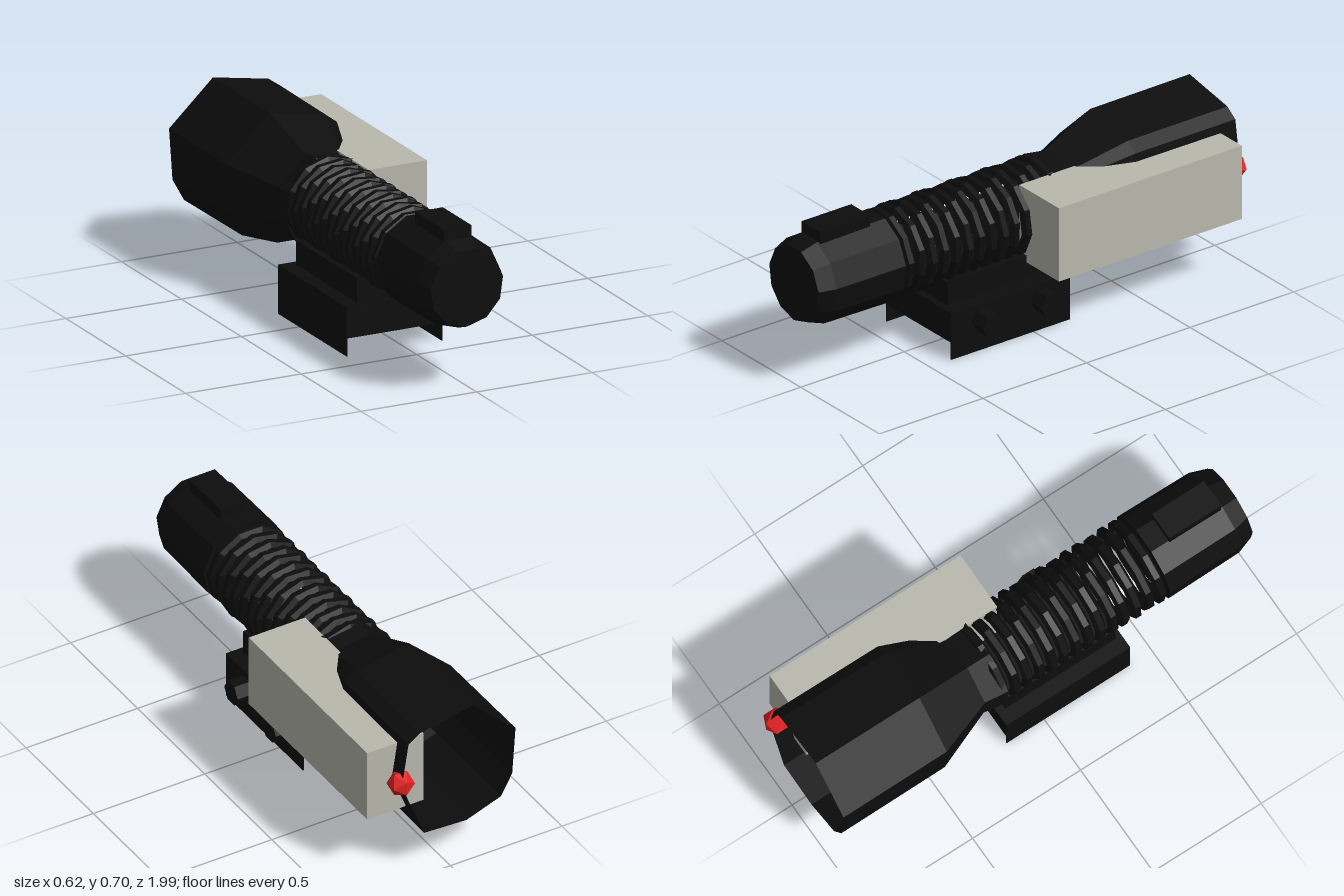
import * as THREE from 'three';

const CX = -0.042, CY = 0.43; // axis of the light

// Skin stretched over closed rings of [x, y] points, one ring per z (largest z first)
function loft(rings) {
  const n = rings[0].pts.length, pos = [], idx = [];
  for (const { z, pts } of rings) for (const [x, y] of pts) pos.push(x, y, z);
  for (let r = 0; r < rings.length - 1; r++) {
    for (let i = 0; i < n; i++) {
      const a = r * n + i, b = r * n + (i + 1) % n;
      idx.push(a, a + n, b, b, a + n, b + n);
    }
  }
  const g = new THREE.BufferGeometry();
  g.setAttribute('position', new THREE.Float32BufferAttribute(pos, 3));
  g.setIndex(idx);
  const flat = g.toNonIndexed();
  flat.computeVertexNormals();
  return flat;
}

// Lathe turned along z; profile is [radius, z]
function turned(profile, sides) {
  const g = new THREE.LatheGeometry(profile.map(([r, z]) => new THREE.Vector2(r, z)), sides);
  g.rotateX(Math.PI / 2);
  return g;
}

export function createModel() {
  const model = new THREE.Group();
  const black = new THREE.MeshStandardMaterial({ color: 0x0d0d0d, side: THREE.DoubleSide, flatShading: true });
  const grey = new THREE.MeshStandardMaterial({ color: 0xb8b8ad, flatShading: true });
  const red = new THREE.MeshStandardMaterial({ color: 0xe02222, flatShading: true });

  function add(name, geometry, material, x = 0, y = 0, z = 0) {
    const mesh = new THREE.Mesh(geometry, material);
    mesh.name = name;
    mesh.position.set(x, y, z);
    model.add(mesh);
    return mesh;
  }
  // Box given by its limits on each axis
  function block(name, material, [x0, x1], [y0, y1], [z0, z1]) {
    return add(name, new THREE.BoxGeometry(x1 - x0, y1 - y0, z1 - z0), material,
      (x0 + x1) / 2, (y0 + y1) / 2, (z0 + z1) / 2);
  }

  // Hollow flared head, open at the back
  const rim = [[0.2, 0.43], [0.17, 0.62], [0.12, 0.655], [-0.12, 0.698], [-0.31, 0.52],
    [-0.295, 0.31], [-0.245, 0.22], [-0.09, 0.165], [0.1, 0.175]];
  const scaled = (s) => rim.map(([x, y]) => [CX + (x - CX) * s, CY + (y - CY) * s]);
  add('head', loft([
    { z: -0.15, pts: scaled(0.69) },
    { z: -0.25, pts: scaled(0.64) },
    { z: -0.49, pts: scaled(0.99) },
    { z: -0.97, pts: scaled(1) },
  ]), black);

  // Tail end of the tube with its switch
  add('tailCap', turned([[0, 0.6], [0.187, 0.6], [0.183, 0.93], [0.158, 1], [0, 1]], 11), black, CX, CY);
  block('switchButton', black, [-0.1, 0.02], [0.56, 0.65], [0.68, 0.92]);

  // Ribbed grip made of separate thin bands, slightly tilted
  const pitch = 0.0565;
  const band = turned([[0.165, -0.024], [0.185, -0.012], [0.185, 0.012], [0.165, 0.024]], 11);
  for (let i = 0; i < 14; i++) {
    const rib = add('gripBand', band, black, CX, CY, 0.57 - i * pitch);
    rib.rotation.set(i > 3 ? 0.02 : 0, i > 3 ? 0.025 : 0, i * 0.2);
  }

  // Side housing and its red lamp
  block('sideHousing', grey, [0.057, 0.31], [0.27, 0.585], [-0.895, -0.012]);
  add('redLamp', new THREE.IcosahedronGeometry(0.055, 0), red, 0.19, 0.43, -0.945);

  // Rail mount: saddle, clamp and two thin side skirts
  block('mountSaddle', black, [-0.19, 0.105], [0.19, 0.3], [-0.14, 0.37]);
  block('mountClamp', black, [-0.25, 0.165], [0.073, 0.2], [-0.175, 0.398]);
  for (const x of [-0.25, 0.161]) block('mountSkirt', black, [x, x + 0.004], [0, 0.08], [-0.175, 0.398]);

  // Clamp screws
  const screw = new THREE.CylinderGeometry(0.05, 0.05, 0.07, 6);
  screw.rotateZ(Math.PI / 2);
  for (const z of [0.248, -0.036]) add('clampScrew', screw, black, 0.198, 0.13, z);

  return model;
}
